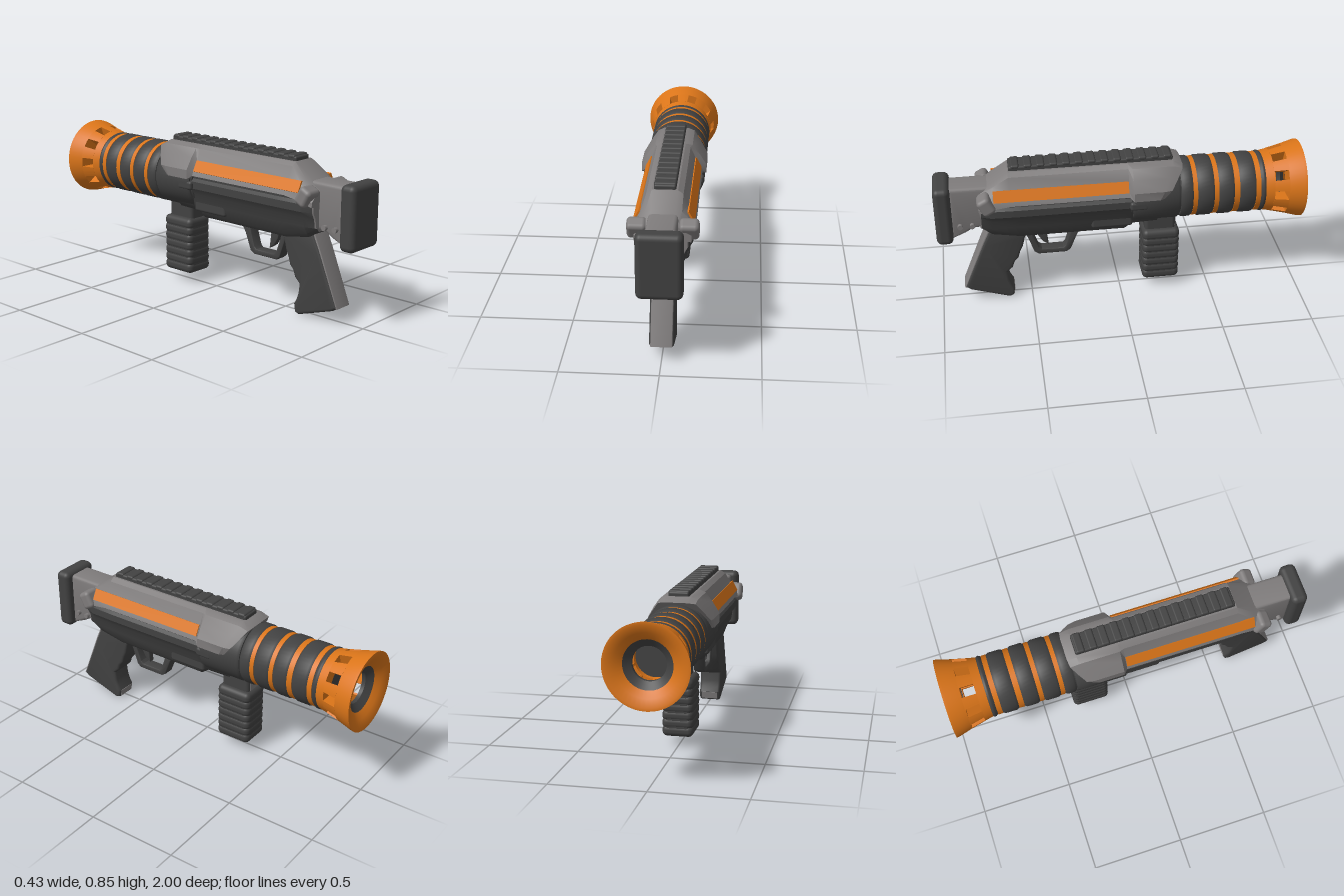
import * as THREE from 'three';
import { toCreasedNormals } from 'three/addons/utils/BufferGeometryUtils.js';
import { RoundedBoxGeometry } from 'three/addons/geometries/RoundedBoxGeometry.js';

export function createModel() {
  const model = new THREE.Group();
  const paint = (name, color) => {
    const m = new THREE.MeshStandardMaterial({ color, side: THREE.DoubleSide });
    m.name = name;
    return m;
  };
  const dark = paint('charcoal', 0x424242);
  const gray = paint('warmGray', 0x7f7c7c);
  const orange = paint('orange', 0xdb7519);
  const AXIS = 0.613; // height of the barrel axis

  const add = (name, geo, mat, x = 0, y = 0, z = 0) => {
    const mesh = new THREE.Mesh(geo, mat);
    mesh.name = name;
    mesh.position.set(x, y, z);
    model.add(mesh);
    return mesh;
  };
  const box = (name, mat, w, h, d, x, y, z, r = 0.01) =>
    add(name, new RoundedBoxGeometry(w, h, d, 3, r), mat, x, y, z);

  // Skin over a row of rings of [x, y, z], closed at both ends
  const loft = (rings) => {
    const pos = [];
    const n = rings[0].length, last = rings[rings.length - 1];
    const tri = (...p) => p.forEach((v) => pos.push(...v));
    for (let i = 0; i < rings.length - 1; i++) {
      for (let j = 0; j < n; j++) {
        const k = (j + 1) % n, a = rings[i], b = rings[i + 1];
        tri(a[j], a[k], b[k]);
        tri(a[j], b[k], b[j]);
      }
    }
    for (let j = 1; j < n - 1; j++) {
      tri(rings[0][0], rings[0][j + 1], rings[0][j]);
      tri(last[0], last[j], last[j + 1]);
    }
    const g = new THREE.BufferGeometry();
    g.setAttribute('position', new THREE.Float32BufferAttribute(pos, 3));
    return toCreasedNormals(g, 0.5);
  };
  // Half section, bottom to top on +x, completed by mirroring
  const mirrored = (half) => [...half, ...[...half].reverse().map(([x, y, z]) => [-x, y, z])];
  const section = (z, half) => mirrored(half.map(([x, y]) => [x, y, z]));

  // Side profile of [z, y] points given a width in x
  const slab = (name, mat, pts, width, bevel = 0.012) => {
    const shape = new THREE.Shape(pts.map(([z, y]) => new THREE.Vector2(z, y)));
    const depth = width - 2 * bevel;
    const g = new THREE.ExtrudeGeometry(shape, {
      depth, bevelThickness: bevel, bevelSize: bevel, bevelOffset: -bevel, bevelSegments: 3,
    });
    g.translate(0, 0, -depth / 2).rotateY(-Math.PI / 2);
    return add(name, toCreasedNormals(g, 0.6), mat);
  };

  // Turned part; points are [radius, distance toward the muzzle]
  const turned = (name, mat, pts) => {
    const g = new THREE.LatheGeometry(pts.map(([r, d]) => new THREE.Vector2(r, d)), 48);
    g.rotateX(-Math.PI / 2);
    return add(name, toCreasedNormals(g, 0.6), mat, 0, AXIS, 0);
  };

  // Barrel: core, bulging dark sleeves and orange rings between them
  turned('barrelCore', dark, [[0, 0.05], [0.15, 0.05], [0.15, 0.8], [0, 0.8]]);
  [[0.06, 0.315], [0.32, 0.384], [0.408, 0.5], [0.525, 0.61], [0.64, 0.73], [0.757, 0.79]].forEach(([a, b]) =>
    turned('barrelSleeve', dark, [[0.14, a], [0.16, a], [0.168, a + 0.013], [0.168, b - 0.013], [0.16, b], [0.14, b]]));
  [[0.384, 0.408], [0.5, 0.525], [0.61, 0.64], [0.73, 0.757]].forEach(([a, b]) =>
    turned('barrelRing', orange, [[0.14, a], [0.163, a], [0.163, b], [0.14, b]]));

  // Flared muzzle: two rings joined by ten thick ribs, leaving straight open slots
  turned('muzzleBase', orange, [[0.1, 0.785], [0.164, 0.785], [0.173, 0.832], [0.1, 0.832], [0.1, 0.785]]);
  turned('muzzleFlare', orange, [[0.1, 0.907], [0.191, 0.907], [0.213, 0.985], [0.215, 1], [0.2, 1],
    [0.16, 0.98], [0.122, 0.955], [0.1, 0.935], [0.1, 0.907]]);
  turned('muzzleLiner', dark, [[0.124, 0.959], [0.086, 0.93], [0.086, 0.91], [0.101, 0.91]]);
  const ribHalf = (r) => Math.PI / 10 - Math.asin(0.026 / r);
  for (let i = 0; i < 10; i++) {
    const rings = [];
    for (let s = -3; s <= 3; s++) {
      rings.push([[0.1, -0.91], [0.192, -0.91], [0.173, -0.83], [0.1, -0.83]].map(([r, z]) => {
        const a = i * Math.PI / 5 + ribHalf(r) * s / 3;
        return [r * Math.sin(a), AXIS + r * Math.cos(a), z];
      }));
    }
    add('muzzleRib', loft(rings), orange);
  }

  // Upper shroud with a raked front and sloping sides
  const body = [[0.158, 0.658], [0.149, 0.68], [0.118, 0.738], [0.092, 0.797], [0.065, 0.815]];
  const flare = [[0.178, 0.64], [0.178, 0.69], [0.14, 0.75], [0.102, 0.8], [0.068, 0.815]];
  add('upperShroud', loft([
    mirrored([[0.165, 0.64, -0.225], [0.17, 0.69, -0.265], [0.135, 0.74, -0.3], [0.1, 0.785, -0.33], [0.06, 0.79, -0.335]]),
    mirrored(flare.map(([x, y], i) => [x, y, [-0.2, -0.225, -0.255, -0.28, -0.285][i]])),
    section(-0.06, flare),
    section(-0.038, body),
    section(0.6, body),
    section(0.69, [[0.158, 0.645], [0.149, 0.68], [0.12, 0.712], [0.09, 0.74], [0.06, 0.75]]),
    section(0.765, [[0.14, 0.615], [0.14, 0.64], [0.11, 0.67], [0.08, 0.69], [0.06, 0.7]]),
  ]), gray);

  // Top rail with cross ridges
  box('topRail', dark, 0.11, 0.042, 0.88, 0, 0.817, 0.155);
  for (let i = 0; i < 13; i++) box('railRidge', dark, 0.112, 0.022, 0.045, 0, 0.834, -0.255 + i * 0.068);

  // Lower receiver with a lighter rear face
  const lower = (yb, w, top) => [[w * 0.5, yb], [w * 0.62, yb + 0.02], [w * 0.78, 0.5], [w * 0.85, 0.55],
    [w, 0.585], [w, 0.625], [w * 0.9, 0.64], [w * 0.9, top]];
  add('lowerReceiver', loft([
    section(-0.2, lower(0.45, 0.15, 0.68)),
    section(-0.06, lower(0.445, 0.15, 0.68)),
    section(-0.02, lower(0.415, 0.15, 0.68)),
    section(0.55, lower(0.415, 0.15, 0.68)),
    section(0.7, lower(0.44, 0.145, 0.65)),
    section(0.755, lower(0.475, 0.125, 0.645)),
  ]), dark);
  add('receiverRearFace', loft([
    section(0.755, lower(0.475, 0.125, 0.645)),
    section(0.763, lower(0.478, 0.122, 0.645)),
  ]), gray);

  // Stock and butt pad
  slab('stock', gray, [[0.92, 0.735], [0.66, 0.735], [0.62, 0.6], [0.74, 0.49], [0.8, 0.485], [0.84, 0.46], [0.92, 0.425]], 0.15, 0.02);
  box('buttPad', dark, 0.23, 0.342, 0.09, 0, 0.584, 0.955, 0.03);

  // Details on both sides
  for (const s of [-1, 1]) {
    const ear = box('rearLug', gray, 0.1, 0.1, 0.075, s * 0.128, 0.668, 0.725, 0.022);
    ear.rotation.x = 0.5;
    const tilt = s * Math.atan2(0.031, 0.058);
    const stripe = add('sideStripe', new THREE.BoxGeometry(0.009, 0.064, 0.72), orange, s * 0.1345, 0.7095, 0.325);
    stripe.rotation.z = tilt;
    box('sidePanel', dark, 0.06, 0.12, 0.225, s * 0.088, 0.512, 0.053, 0.015);
    box('sideBlock', dark, 0.05, 0.05, 0.1, s * 0.143, 0.6, -0.09, 0.015);
    for (const z of [0.805, 0.87]) {
      const stud = add('stockStud', new THREE.CylinderGeometry(0.014, 0.014, 0.03, 16), gray, s * 0.08, 0.51, z);
      stud.rotation.z = Math.PI / 2;
    }
  }

  // Pistol grip with finger grooves, a lighter backstrap and a lighter toe plate
  slab('pistolGrip', dark, [[0.715, 0.46], [0.76, 0.36], [0.87, 0.09], [0.845, 0.07], [0.63, 0], [0.605, 0.01],
    [0.598, 0.055], [0.615, 0.085], [0.626, 0.12], [0.632, 0.17], [0.602, 0.2], [0.59, 0.235], [0.567, 0.262],
    [0.556, 0.3], [0.54, 0.335], [0.527, 0.39], [0.5, 0.46]], 0.125, 0.015);
  slab('gripBackstrap', gray, [[0.722, 0.46], [0.766, 0.36], [0.875, 0.085], [0.84, 0.085], [0.7, 0.46]], 0.11, 0.004);
  const toe = add('gripToePlate', new THREE.BoxGeometry(0.095, 0.04, 0.006), gray, 0, 0.034, 0.6015);
  toe.rotation.x = -Math.atan2(0.007, 0.045);

  // Trigger guard and trigger
  slab('triggerGuard', dark, [[0.535, 0.43], [0.51, 0.37], [0.477, 0.275], [0.455, 0.258], [0.3, 0.258], [0.275, 0.275],
    [0.237, 0.37], [0.2, 0.43], [0.265, 0.43], [0.28, 0.37], [0.302, 0.3], [0.315, 0.287], [0.435, 0.287],
    [0.452, 0.3], [0.48, 0.38], [0.49, 0.43]], 0.065, 0.006);
  slab('trigger', dark, [[0.465, 0.43], [0.452, 0.37], [0.428, 0.33], [0.395, 0.308], [0.4, 0.35], [0.41, 0.43]], 0.035, 0.005);

  // Ribbed foregrip under the barrel, with a light plate on the front of its neck
  box('foregripNeck', dark, 0.11, 0.14, 0.17, 0, 0.42, -0.225, 0.02);
  add('neckPlate', new THREE.BoxGeometry(0.07, 0.06, 0.006), gray, 0, 0.41, -0.31);
  box('foregripCore', dark, 0.162, 0.324, 0.201, 0, 0.218, -0.228, 0.032);
  for (let i = 0; i < 7; i++) box('foregripRib', dark, 0.17, 0.064, 0.207, 0, 0.089 + i * 0.043, -0.228, 0.028);

  return model;
}
